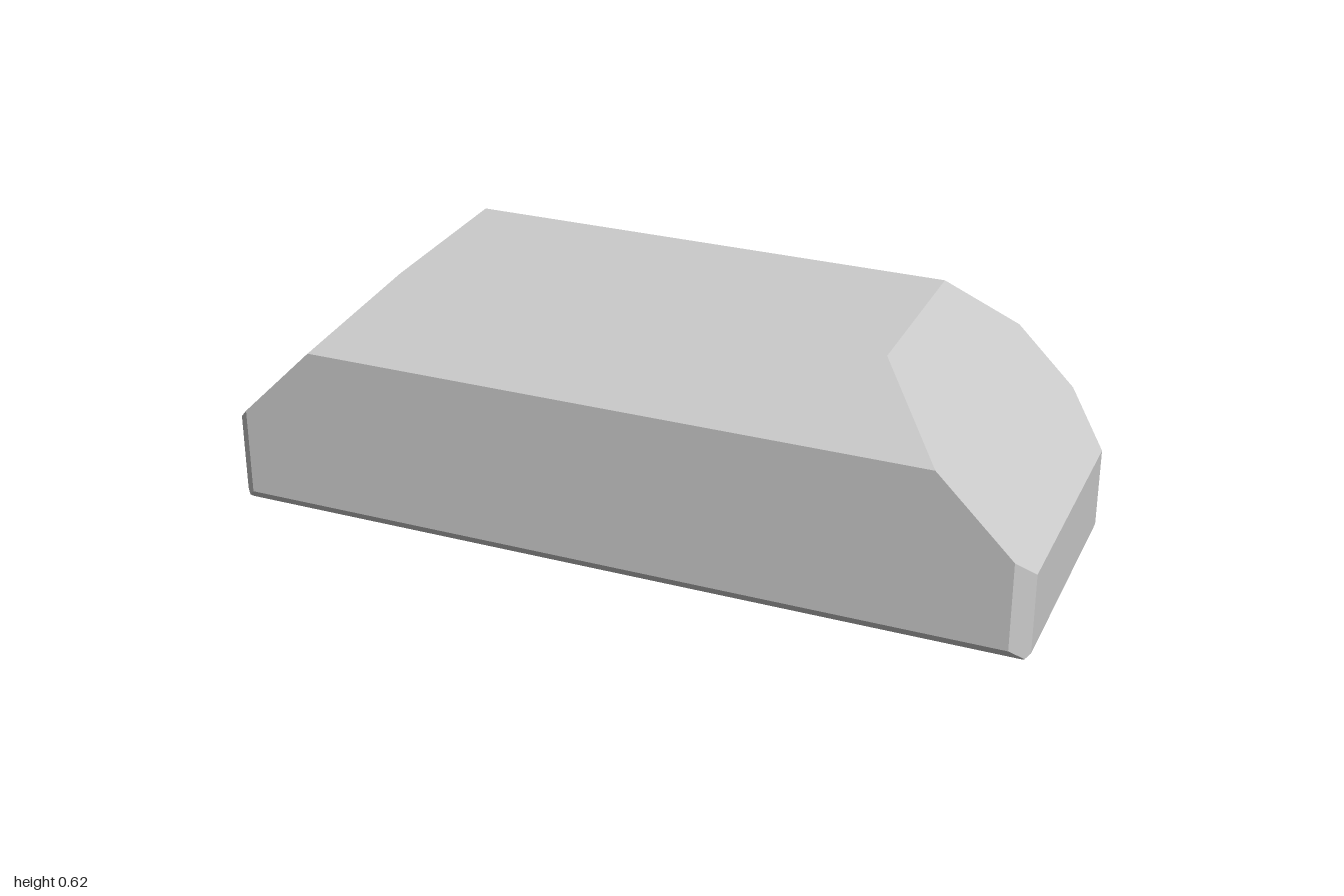
import * as THREE from 'three';
import { ConvexGeometry } from 'three/addons/geometries/ConvexGeometry.js';

export function createModel() {
  const group = new THREE.Group();
  group.name = 'chamferedBlock';

  // Corners of the left half; every chamfer is cut at 45 degrees
  const half = [
    // top face
    [0.603, 0.615, 0.217], [0.603, 0.615, -0.234],
    // upper long edges of the front and back faces
    [0.771, 0.447, 0.385], [0.754, 0.464, -0.385],
    // front vertical chamfer
    [0.958, 0.26, 0.385], [1, 0.218, 0.343],
    [0.958, 0.037, 0.385], [1, 0.017, 0.343], [0.989, 0.006, 0.354],
    // back vertical chamfer
    [0.897, 0.321, -0.385], [1, 0.218, -0.282],
    [0.897, 0.083, -0.385], [1, 0.017, -0.282],
    // bottom face
    [0.983, 0, 0.348], [0.983, 0, -0.3],
  ];

  // Mirror to the right half and wrap as one solid
  const points = half.flatMap(([x, y, z]) => [
    new THREE.Vector3(x, y, z),
    new THREE.Vector3(-x, y, z),
  ]);

  const material = new THREE.MeshStandardMaterial({ color: 0xcccccc, flatShading: true });
  const body = new THREE.Mesh(new ConvexGeometry(points), material);
  body.name = 'body';
  group.add(body);
  return group;
}
